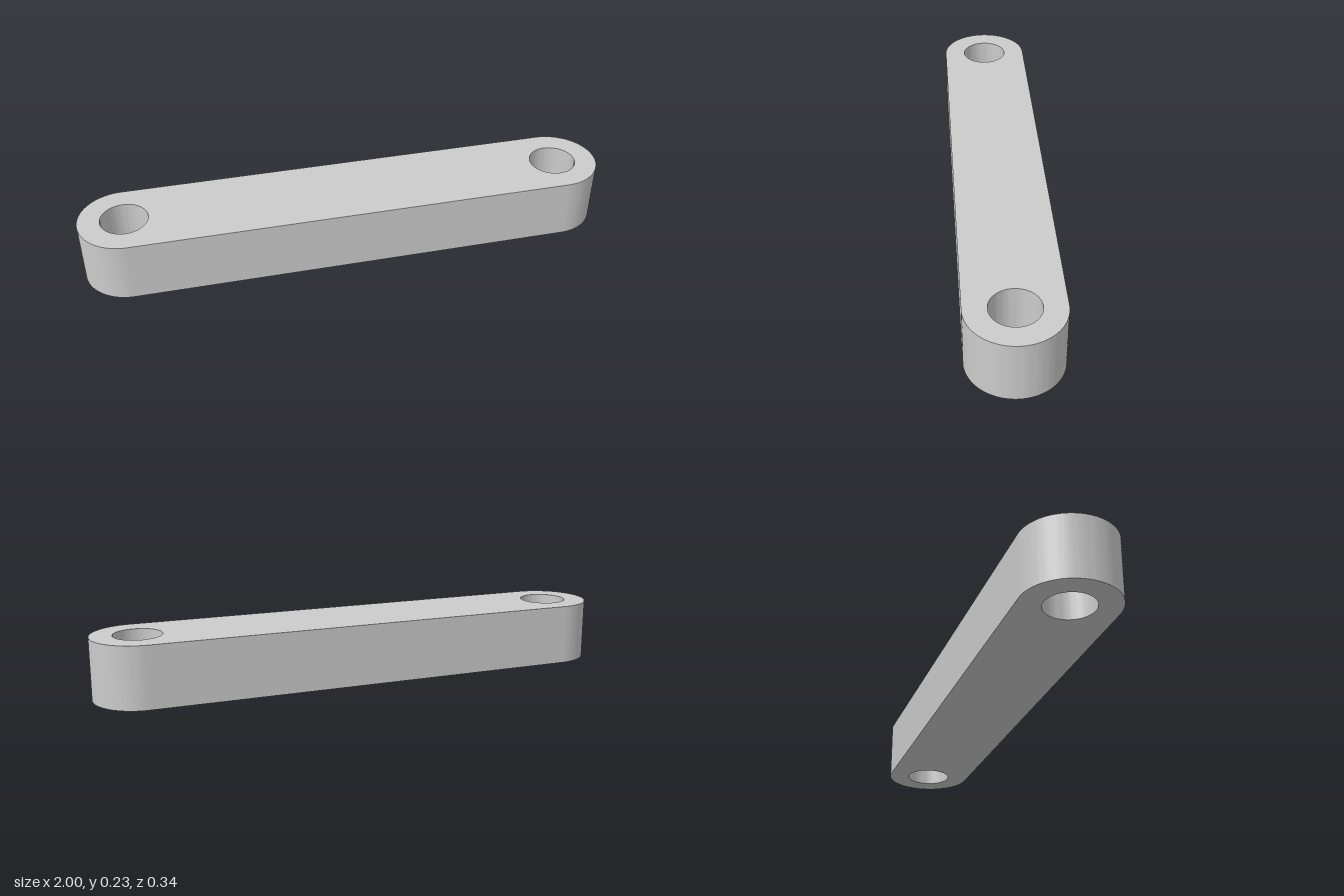
import * as THREE from 'three';
import { toCreasedNormals } from 'three/addons/utils/BufferGeometryUtils.js';

const END_RADIUS = 0.17;
const HOLE_RADIUS = 0.088;
const HOLE_X = 1 - END_RADIUS;
const HEIGHT = 0.23;

export function createModel() {
  const group = new THREE.Group();
  group.name = 'linkBar';

  // Bar outline: straight sides with half-round ends
  const outline = new THREE.Shape();
  outline.absarc(HOLE_X, 0, END_RADIUS, -Math.PI / 2, Math.PI / 2, false);
  outline.absarc(-HOLE_X, 0, END_RADIUS, Math.PI / 2, Math.PI * 1.5, false);
  outline.closePath();

  // Pin hole through each end
  for (const side of [-1, 1]) {
    const hole = new THREE.Path();
    hole.absarc(side * HOLE_X, 0, HOLE_RADIUS, 0, Math.PI * 2, true);
    outline.holes.push(hole);
  }

  // Extrude upward, keeping the rims sharp and the curved walls smooth
  const extruded = new THREE.ExtrudeGeometry(outline, {
    depth: HEIGHT, bevelEnabled: false, curveSegments: 32,
  });
  extruded.rotateX(-Math.PI / 2);
  const bar = new THREE.Mesh(
    toCreasedNormals(extruded, Math.PI / 6),
    new THREE.MeshStandardMaterial({ color: 0xcccccc }),
  );
  bar.name = 'bar';
  group.add(bar);

  return group;
}
